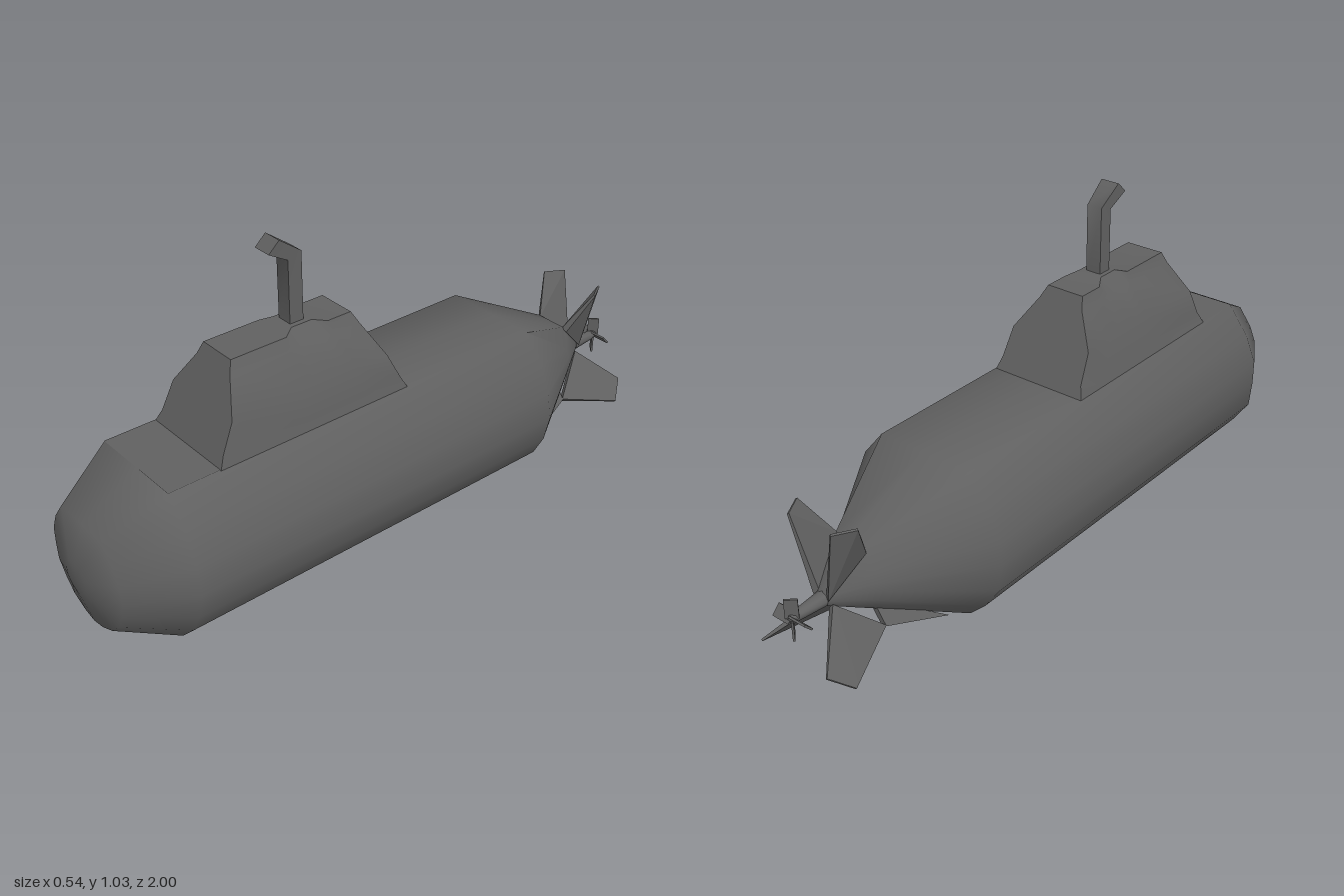
import * as THREE from 'three';
import { toCreasedNormals } from 'three/addons/utils/BufferGeometryUtils.js';
import { ConvexGeometry } from 'three/addons/geometries/ConvexGeometry.js';

const AXIS_Y = 0.265;
const material = new THREE.MeshStandardMaterial({ color: 0x606060 });

function addMesh(parent, name, geometry, crease = 0.5) {
  const mesh = new THREE.Mesh(toCreasedNormals(geometry, crease), material);
  mesh.name = name;
  parent.add(mesh);
  return mesh;
}

// Skin over closed rings, counter-clockwise seen from +z, ordered bow to stern
function loft(rings) {
  const n = rings[0].length;
  const pos = rings.flat(2);
  const index = [];
  for (let i = 0; i < rings.length - 1; i++) {
    for (let j = 0; j < n; j++) {
      const a = i * n + j, b = i * n + (j + 1) % n;
      index.push(a, a + n, b, b, a + n, b + n);
    }
  }
  // End caps
  [0, rings.length - 1].forEach((r) => {
    const centre = pos.length / 3;
    for (let k = 0; k < 3; k++) pos.push(rings[r].reduce((s, p) => s + p[k], 0) / n);
    for (let j = 0; j < n; j++) {
      const a = r * n + j, b = r * n + (j + 1) % n;
      if (r === 0) index.push(centre, a, b);
      else index.push(centre, b, a);
    }
  });
  const g = new THREE.BufferGeometry();
  g.setAttribute('position', new THREE.Float32BufferAttribute(pos, 3));
  g.setIndex(index);
  return g;
}

// Round hull section with a flat deck, scaled along the length;
// the deck is lifted a little just ahead of the tail
function hullGeometry() {
  const section = [
    [0, -0.263], [0.07, -0.25], [0.155, -0.213], [0.212, -0.155], [0.25, -0.085],
    [0.27, 0], [0.255, 0.08], [0.22, 0.165], [0.15, 0.25], [0, 0.25], [-0.165, 0.25],
    [-0.235, 0.158], [-0.27, 0.075], [-0.27, 0], [-0.262, -0.085], [-0.21, -0.16],
    [-0.155, -0.213], [-0.07, -0.25],
  ];
  // [z, scale, deck lift]
  const stations = [
    [1, 0.18, 0], [0.965, 0.63, 0], [0.79, 1, 0], [-0.49, 1, 0], [-0.77, 0.34, 0.04], [-0.88, 0.08, 0],
  ];
  return loft(stations.map(([z, s, lift]) => section.map(([x, y]) => (
    [x * s, AXIS_Y + y * s + (y === 0.25 ? lift : 0), z]
  ))));
}

// Sail with raked ends and a pinched top around the periscope
function sailGeometry() {
  const section = [
    [0.15, 0.5], [0.148, 0.515], [0.138, 0.55], [0.132, 0.635], [0.072, 0.73], [0.056, 0.765],
    [-0.068, 0.765], [-0.08, 0.73], [-0.142, 0.635], [-0.15, 0.55], [-0.165, 0.515], [-0.167, 0.5],
  ];
  const stations = [[0, 0], [0.45, 0], [0.53, 1], [0.7, 1], [0.8, 0], [1, 0]];
  return loft(stations.map(([t, pinch]) => section.map(([x, y]) => {
    const k = (y - 0.515) / 0.25;
    const z = THREE.MathUtils.lerp(0.63 - 0.11 * k, -0.01 + 0.13 * k, t);
    const top = y > 0.75 ? pinch : 0;
    return [x * (1 - 0.35 * top), y + 0.01 * top, z];
  })));
}

// Thin plate through corners [x, y, z, thickness], mirrored by side = -1
function plateGeometry(corners, side) {
  const points = corners.map(([x, y, z]) => new THREE.Vector3(side * x, y, z));
  const normal = new THREE.Plane().setFromCoplanarPoints(points[0], points[1], points[2]).normal;
  return new ConvexGeometry(points.flatMap((p, i) => [0.5, -0.5].map(
    (s) => p.clone().addScaledVector(normal, s * corners[i][3]),
  )));
}

export function createModel() {
  const model = new THREE.Group();
  model.name = 'submarine';

  addMesh(model, 'hull', hullGeometry(), 1.1);
  addMesh(model, 'sail', sailGeometry(), 0.8);

  // Flat deck panel ahead of the sail
  const foredeck = new THREE.PlaneGeometry(0.31, 0.16);
  foredeck.rotateX(-Math.PI / 2).translate(-0.01, 0.517, 0.71);
  addMesh(model, 'foredeck', foredeck);

  // Periscope: side profile as [z, y], extruded across x
  const profile = [[0.3, 0.75], [0.3, 0.965], [0.365, 1.003], [0.33, 1.035], [0.255, 0.98], [0.255, 0.75]];
  const periscope = new THREE.ExtrudeGeometry(
    new THREE.Shape(profile.map(([z, y]) => new THREE.Vector2(z, y))),
    { depth: 0.05, bevelEnabled: false },
  );
  periscope.rotateY(-Math.PI / 2).translate(0.02, 0, 0);
  // Widen the head a little
  const p = periscope.attributes.position;
  for (let i = 0; i < p.count; i++) {
    if (p.getY(i) > 0.99) p.setX(i, -0.004 + (p.getX(i) + 0.005) * 1.2);
  }
  addMesh(model, 'periscope', periscope, 1.2);

  // Tail fins; the lower pair has strakes running forward along the hull
  const upperFin = [
    [0.055, 0.38, -0.77, 0.02], [0.11, 0.505, -0.84, 0.006],
    [0.075, 0.505, -0.9, 0.006], [0.02, 0.275, -0.88, 0.02],
  ];
  const lowerFin = [
    [0.085, 0.135, -0.75, 0.02], [0.163, 0.093, -0.935, 0.006],
    [0.12, 0.14, -0.992, 0.006], [0.02, 0.245, -0.87, 0.02],
  ];
  const strake = [[0.14, 0.082, -0.56, 0.004], [0.085, 0.135, -0.75, 0.02], [0.04, 0.2, -0.75, 0.02]];
  [1, -1].forEach((side) => {
    addMesh(model, 'upperFin', plateGeometry(upperFin, side));
    addMesh(model, 'lowerFin', plateGeometry(lowerFin, side));
    addMesh(model, 'strake', plateGeometry(strake, side));
  });

  // Propeller shaft and four twisted blades
  const shaft = new THREE.CylinderGeometry(0.024, 0.013, 0.13, 8);
  shaft.rotateX(Math.PI / 2).translate(0, AXIS_Y, -0.925);
  addMesh(model, 'propellerShaft', shaft, 0.9);

  const propeller = new THREE.Group();
  propeller.name = 'propeller';
  propeller.position.set(0, AXIS_Y, -0.982);
  for (let i = 0; i < 4; i++) {
    const blade = new THREE.BoxGeometry(0.036, 0.058, 0.006);
    blade.rotateY(0.75).translate(0, 0.03, 0).rotateZ(i * Math.PI / 2);
    addMesh(propeller, 'blade', blade);
  }
  model.add(propeller);
  return model;
}
